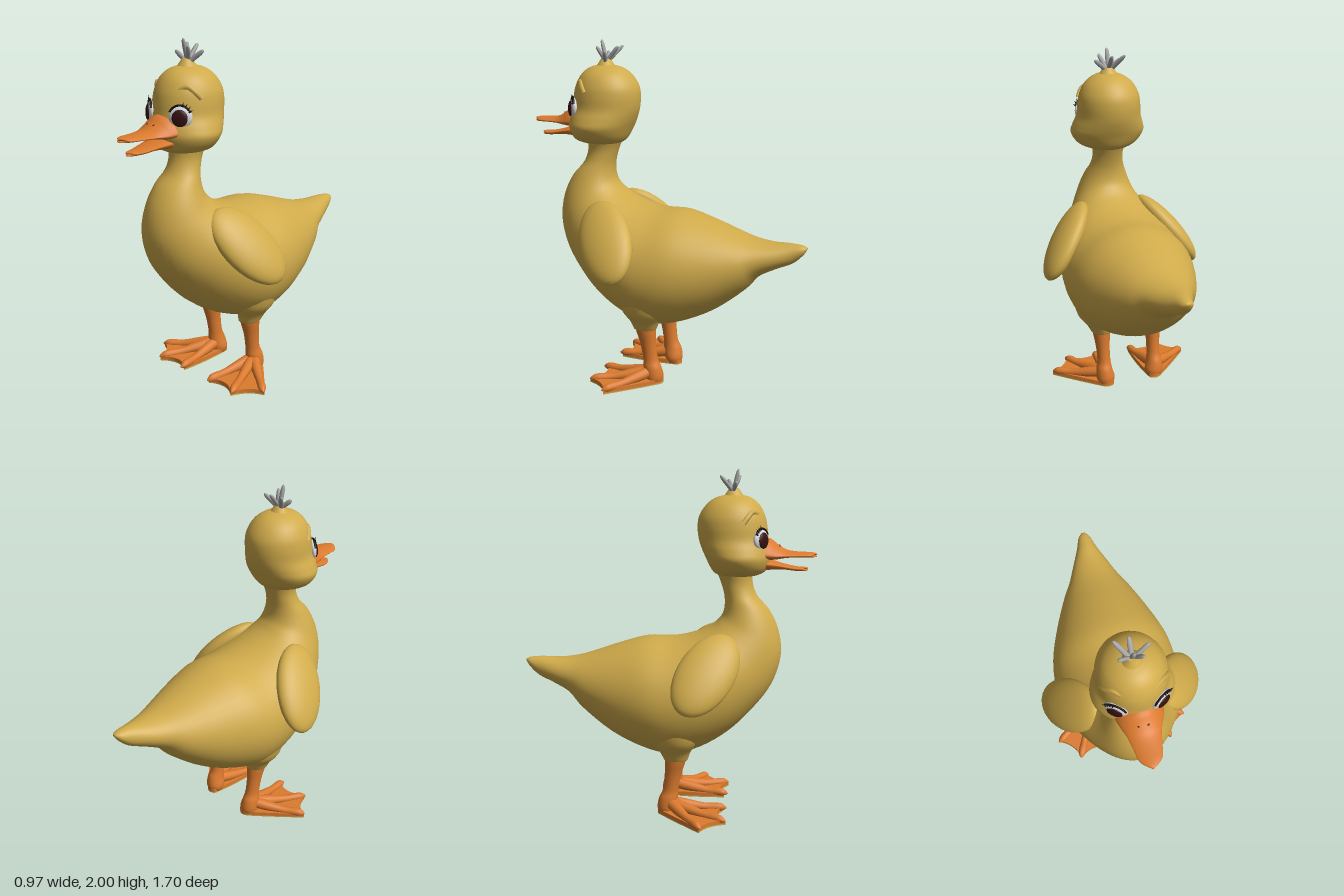
import * as THREE from 'three';

const mat = (name, color) => Object.assign(new THREE.MeshStandardMaterial({ color }), { name });
const V = (x, y, z) => new THREE.Vector3(x, y, z);

// Smooth closed skin through cross-section rings, capped at both ends
function loft(rings, steps) {
  const n = rings[0].length, pos = [], idx = [];
  const cols = rings[0].map((_, j) => new THREE.CatmullRomCurve3(rings.map(r => r[j]), false, 'catmullrom', 0.5));
  for (let i = 0; i <= steps; i++) cols.forEach(c => pos.push(...c.getPoint(i / steps).toArray()));
  for (let i = 0; i < steps; i++) {
    for (let j = 0; j < n; j++) {
      const a = i * n + j, b = i * n + (j + 1) % n, c = a + n, d = b + n;
      idx.push(a, b, d, a, d, c);
    }
  }
  [0, steps].forEach(row => {
    const m = V(0, 0, 0), k = pos.length / 3;
    cols.forEach(c => m.addScaledVector(c.getPoint(row / steps), 1 / n));
    pos.push(m.x, m.y, m.z);
    for (let j = 0; j < n; j++) {
      const a = row * n + j, b = row * n + (j + 1) % n;
      if (row) idx.push(k, a, b); else idx.push(k, b, a);
    }
  });
  // Turn the faces outward if the enclosed volume is negative
  const p = i => V(pos[3 * i], pos[3 * i + 1], pos[3 * i + 2]);
  let vol = 0;
  for (let i = 0; i < idx.length; i += 3) vol += p(idx[i]).dot(p(idx[i + 1]).cross(p(idx[i + 2])));
  if (vol < 0) idx.reverse();
  const g = new THREE.BufferGeometry();
  g.setAttribute('position', new THREE.Float32BufferAttribute(pos, 3));
  g.setIndex(idx);
  g.computeVertexNormals();
  return g;
}
const ring = (n, f) => Array.from({ length: n }, (_, j) => f(Math.cos(j / n * 2 * Math.PI), Math.sin(j / n * 2 * Math.PI)));

export function createModel() {
  const root = new THREE.Group();
  root.name = 'duck';
  const yellow = mat('yellowFeathers', 0xd0ab4b), orange = mat('orangeSkin', 0xdb7a2e);
  const grey = mat('greyTuft', 0xa3a3a3), white = mat('eyeWhite', 0xd8d8dc);
  const maroon = mat('darkIris', 0x35100f), black = mat('blackLashes', 0x17120f);
  const add = (name, geo, material, parent = root) => {
    const m = new THREE.Mesh(geo, material);
    m.name = name;
    parent.add(m);
    return m;
  };
  const ball = new THREE.SphereGeometry(1, 32, 20);

  // Body and neck: lower z, y, upper z, y, half width
  add('body', loft([
    [-0.85, 0.872, -0.848, 0.885, 0.012], [-0.825, 0.835, -0.82, 0.895, 0.037],
    [-0.77, 0.785, -0.75, 0.9, 0.062], [-0.68, 0.745, -0.65, 0.897, 0.107],
    [-0.58, 0.69, -0.55, 0.908, 0.155], [-0.5, 0.6, -0.45, 0.935, 0.212],
    [-0.32, 0.46, -0.28, 0.992, 0.297], [-0.13, 0.37, -0.12, 1.035, 0.36],
    [0.03, 0.34, 0.03, 1.037, 0.38], [0.2, 0.385, 0.14, 1.058, 0.375],
    [0.37, 0.49, 0.22, 1.09, 0.345], [0.51, 0.63, 0.27, 1.12, 0.295],
    [0.61, 0.77, 0.3, 1.15, 0.24], [0.66, 0.93, 0.32, 1.18, 0.193],
    [0.645, 1.08, 0.33, 1.22, 0.157], [0.59, 1.2, 0.33, 1.27, 0.125],
    [0.52, 1.28, 0.32, 1.32, 0.1], [0.49, 1.36, 0.3, 1.38, 0.092], [0.49, 1.45, 0.27, 1.45, 0.11],
  ].map(([zb, yb, zt, yt, w]) => ring(40, (c, s) =>
    V(w * c, (yb + yt) / 2 + s * (yt - yb) / 2, (zb + zt) / 2 + s * (zt - zb) / 2))), 72), yellow);

  // Head with full cheeks: y, back z, front z, half width
  add('head', loft([
    [1.395, 0.34, 0.47, 0.05], [1.41, 0.28, 0.53, 0.125], [1.44, 0.25, 0.57, 0.185],
    [1.5, 0.22, 0.59, 0.224], [1.55, 0.197, 0.588, 0.215], [1.61, 0.177, 0.575, 0.193],
    [1.68, 0.17, 0.567, 0.187], [1.74, 0.18, 0.553, 0.175], [1.8, 0.218, 0.522, 0.142],
    [1.84, 0.27, 0.475, 0.09], [1.86, 0.34, 0.41, 0.03],
  ].map(([y, zb, zf, w]) => ring(40, (c, s) => V(w * c, y, (zb + zf) / 2 + s * (zf - zb) / 2))), 44), yellow);

  // Bill halves: z, half width, top y, edge y, bottom y
  const bill = rows => loft(rows.map(([z, w, t, e, b]) => ring(28, (c, s) =>
    V(w * c, e + (s > 0 ? (t - e) * s ** 1.5 : (b - e) * -s), z - 0.02 * c * c))), 36);
  add('upperBill', bill([
    [0.5, 0.14, 1.62, 1.53, 1.49], [0.58, 0.128, 1.615, 1.525, 1.492], [0.63, 0.112, 1.58, 1.52, 1.497],
    [0.68, 0.092, 1.55, 1.52, 1.505], [0.74, 0.078, 1.54, 1.52, 1.508], [0.81, 0.064, 1.537, 1.52, 1.508],
    [0.842, 0.04, 1.533, 1.52, 1.51], [0.852, 0.006, 1.524, 1.52, 1.516],
  ]), orange);
  add('lowerBill', bill([
    [0.5, 0.11, 1.5, 1.48, 1.43], [0.58, 0.1, 1.495, 1.475, 1.435], [0.66, 0.076, 1.472, 1.462, 1.438],
    [0.74, 0.057, 1.455, 1.447, 1.43], [0.79, 0.036, 1.452, 1.444, 1.43], [0.805, 0.005, 1.446, 1.442, 1.438],
  ]), orange);

  // Tuft: a small yellow base and tapering feathers
  const base = add('tuftBase', new THREE.CylinderGeometry(0.026, 0.06, 0.05, 20), yellow);
  base.position.set(0, 1.868, 0.375);
  [[-0.08, 1.965, 0.3], [0, 2, 0.4], [0.095, 1.94, 0.34], [0.05, 1.965, 0.41],
    [-0.075, 1.93, 0.39], [0.0, 1.965, 0.295]].forEach(([x, y, z]) => {
    const a = V(x * 0.15, 1.875, 0.37), b = V(x, y, z), d = b.clone().sub(a);
    const f = add('tuftFeather', loft([[0, 0.016], [0.3, 0.014], [0.7, 0.014], [0.93, 0.009], [1, 0.002]]
      .map(([t, r]) => ring(10, (c, s) => V(r * c, t * d.length(), r * s * 0.8))), 12), grey);
    f.position.copy(a);
    f.quaternion.setFromUnitVectors(V(0, 1, 0), d.normalize());
  });

  for (const s of [1, -1]) {
    const side = new THREE.Group();
    side.name = s > 0 ? 'leftSide' : 'rightSide';
    root.add(side);

    // Wing: a flattened oval slanting down, out and back
    const L = V(s * 0.542, -0.703, -0.462).normalize(), N = V(s * 0.82, 0.55, 0.1);
    N.addScaledVector(L, -N.dot(L)).normalize();
    const wing = add('wing', ball, yellow, side);
    wing.quaternion.setFromRotationMatrix(new THREE.Matrix4().makeBasis(L, N.clone().cross(L), N));
    wing.scale.set(0.27, 0.16, 0.078);
    wing.position.set(s * 0.325, 0.885, 0.24);

    // Thigh and leg: y, x, z, radius x, radius z
    const limb = rows => loft(rows.map(([y, x, z, rx, rz]) => ring(24, (c, t) => V(s * (x + rx * c), y, z + rz * t))), 28);
    add('thigh', limb([[0.56, 0.2, 0.06, 0.14, 0.15], [0.46, 0.195, 0.06, 0.115, 0.13],
      [0.39, 0.18, 0.06, 0.078, 0.09], [0.34, 0.168, 0.063, 0.062, 0.07]]), yellow, side);
    add('leg', limb([[0.36, 0.167, 0.063, 0.056, 0.064], [0.32, 0.167, 0.058, 0.052, 0.06],
      [0.24, 0.165, 0.045, 0.042, 0.048], [0.15, 0.163, 0.032, 0.04, 0.045], [0.1, 0.165, 0.02, 0.048, 0.055],
      [0.045, 0.16, 0.01, 0.056, 0.056], [0.008, 0.16, 0.01, 0.048, 0.048]]), orange, side);

    // Webbed foot with scalloped edge and a pale sole
    const web = new THREE.Shape();
    web.moveTo(s * 0.13, 0.03);
    web.lineTo(s * 0.2, 0.03);
    web.quadraticCurveTo(s * 0.15, -0.07, s * 0.115, 0.0);
    web.curves.length = 0;
    web.moveTo(s * 0.12, -0.03);
    web.quadraticCurveTo(s * 0.095, 0.15, s * 0.11, 0.34);
    web.quadraticCurveTo(s * 0.21, 0.27, s * 0.31, 0.36);
    web.quadraticCurveTo(s * 0.34, 0.25, s * 0.44, 0.215);
    web.quadraticCurveTo(s * 0.3, 0.07, s * 0.19, -0.03);
    web.quadraticCurveTo(s * 0.155, -0.06, s * 0.12, -0.03);
    const plate = (name, depth, y, m) => {
      const p = add(name, new THREE.ExtrudeGeometry(web, { depth, bevelEnabled: false, curveSegments: 10 }), m, side);
      p.rotation.x = Math.PI / 2;
      p.position.y = y;
    };
    plate('web', 0.022, 0.03, orange);
    plate('sole', 0.007, 0.008, yellow);
    [[0.118, 0.345], [0.31, 0.345], [0.425, 0.215]].forEach(([x, z]) => {
      const path = [[0, 0.075, 0.034], [0.3, 0.056, 0.032], [0.65, 0.037, 0.023], [0.9, 0.033, 0.024], [0.99, 0.03, 0.017], [1.05, 0.026, 0.003]];
      const d = V(x - 0.16, 0, z - 0.02).normalize();
      add('toe', loft(path.map(([t, y, r]) => ring(14, (c, q) => V(
        s * (0.16 + (x - 0.16) * t + d.z * r * c), Math.max(0.008, y + r * q), 0.02 + (z - 0.02) * t - d.x * r * c))), 20), orange, side);
    });

    // Eye facing forward and outward, with lashes above
    const eye = new THREE.Group();
    eye.name = 'eye';
    eye.position.set(s * 0.118, 1.615, 0.53);
    eye.rotation.set(-0.05, s * 0.6, 0, 'YXZ');
    side.add(eye);
    add('eyeball', ball, white, eye).scale.set(0.064, 0.058, 0.024);
    const iris = add('iris', ball, maroon, eye);
    iris.scale.set(0.043, 0.045, 0.014);
    iris.position.set(0, -0.005, 0.018);
    const lid = add('lashLine', new THREE.TorusGeometry(0.061, 0.006, 8, 24, 2.3), black, eye);
    lid.rotation.z = 0.42;
    lid.position.z = 0.008;
    for (let i = 0; i < 4; i++) {
      const a = Math.PI / 2 - s * (0.25 + i * 0.27);
      const lash = add('lash', new THREE.ConeGeometry(0.005, 0.03, 6), black, eye);
      lash.position.set(0.07 * Math.cos(a), 0.07 * Math.sin(a), 0.014);
      lash.rotation.z = a - Math.PI / 2;
    }

    // Brow ridge and nostril
    const brow = new THREE.CatmullRomCurve3([V(s * 0.085, 1.755, 0.508), V(s * 0.12, 1.765, 0.48), V(s * 0.155, 1.735, 0.453), V(s * 0.172, 1.705, 0.43)]);
    add('brow', new THREE.TubeGeometry(brow, 16, 0.015, 8), yellow, side);
    const nostril = add('nostril', ball, maroon, side);
    nostril.scale.set(0.006, 0.004, 0.012);
    nostril.position.set(s * 0.025, 1.572, 0.63);
  }
  return root;
}
